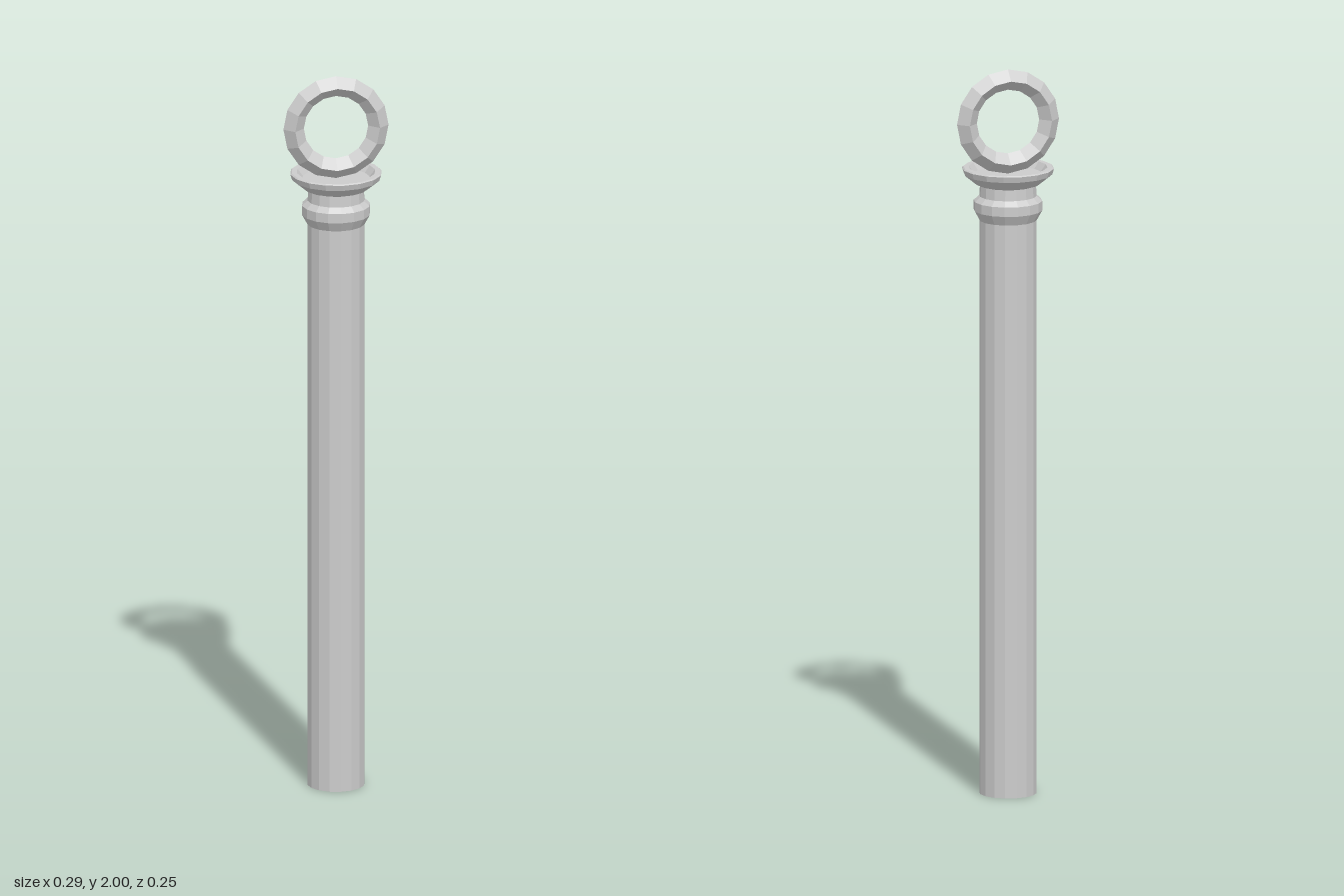
import * as THREE from 'three';

const SIDES = 16;

export function createModel() {
  const group = new THREE.Group();
  const material = new THREE.MeshStandardMaterial({ color: 0xcccccc, flatShading: true });

  const add = (name, geometry, y = 0) => {
    const mesh = new THREE.Mesh(geometry, material);
    mesh.name = name;
    mesh.position.y = y;
    group.add(mesh);
  };
  // Turned part from [radius, height] pairs, listed bottom to top
  const turned = (profile) =>
    new THREE.LatheGeometry(profile.map(([r, y]) => new THREE.Vector2(r, y)), SIDES);

  // Long plain post with a closed foot
  add('shaft', turned([[0, 0], [0.078, 0], [0.078, 1.59]]));

  // Bevelled band and narrow neck above it
  add('collar', turned([
    [0.078, 1.585], [0.093, 1.612], [0.093, 1.638], [0.078, 1.652], [0.076, 1.682],
  ]));

  // Flared cap with a shallow recess in its top
  add('cap', turned([
    [0.076, 1.682], [0.088, 1.686], [0.12, 1.712], [0.125, 1.728],
    [0.121, 1.731], [0.107, 1.731], [0.092, 1.712], [0, 1.712],
  ]));

  // Upright ring with a diamond cross-section, resting in the recess
  add('ring', new THREE.TorusGeometry(0.116, 0.028, 4, SIDES), 1.856);

  return group;
}
